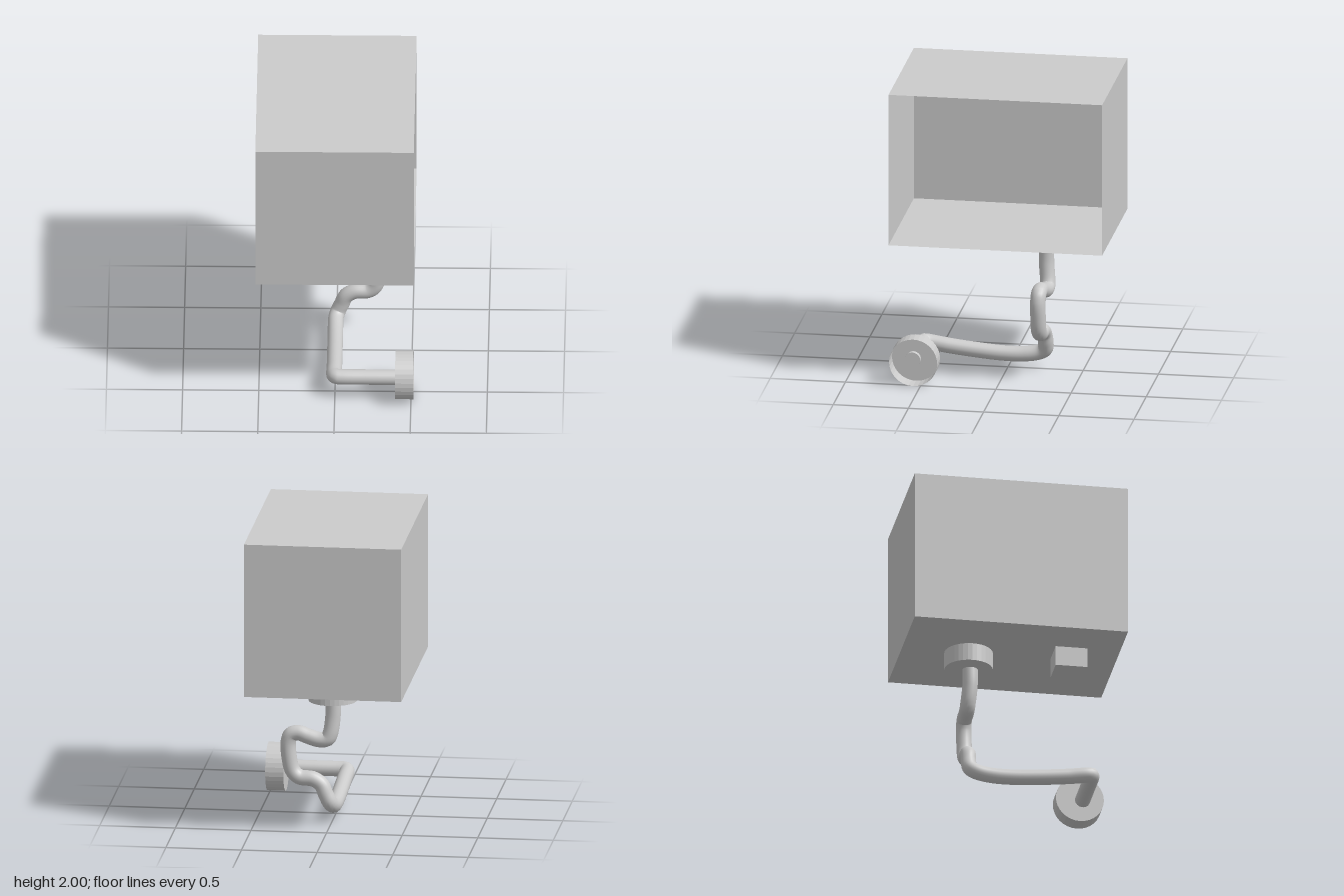
import * as THREE from 'three';

const smooth = new THREE.MeshStandardMaterial({ color: 0xcccccc, side: THREE.DoubleSide });
const flat = new THREE.MeshStandardMaterial({ color: 0xcccccc, side: THREE.DoubleSide, flatShading: true });

function addMesh(parent, name, geometry, material, x = 0, y = 0, z = 0) {
  const mesh = new THREE.Mesh(geometry, material);
  mesh.name = name;
  mesh.position.set(x, y, z);
  parent.add(mesh);
  return mesh;
}

// Shallow round cup: thin wall, closed at its lower end, open at the top
function makeCup(name, radius, height) {
  const cup = new THREE.Group();
  cup.name = name;
  addMesh(cup, 'cupWall', new THREE.CylinderGeometry(radius, radius, height, 32, 1, true), flat);
  const base = addMesh(cup, 'cupBase', new THREE.CircleGeometry(radius, 32), flat, 0, -height / 2, 0);
  base.rotation.x = Math.PI / 2;
  return cup;
}

export function createModel() {
  const model = new THREE.Group();
  model.name = 'boxWithBentPipe';

  // Thin-walled box, open on its +x side (the first face of the geometry is dropped)
  const shell = new THREE.BoxGeometry(1.04, 1.035, 1.42);
  shell.setIndex(Array.from(shell.index.array).slice(6));
  shell.clearGroups();
  addMesh(model, 'openBox', shell, flat, 0, 1.4825, 0);

  // Small block under the box
  addMesh(model, 'underBlock', new THREE.BoxGeometry(0.21, 0.135, 0.21), flat, -0.115, 0.8975, 0.385);

  // Cup joining the pipe to the box
  const upperCup = makeCup('upperCup', 0.16, 0.12);
  upperCup.position.set(-0.012, 0.905, -0.265);
  model.add(upperCup);

  // Cup at the free end, opening towards +x
  const lowerCup = makeCup('lowerCup', 0.16, 0.12);
  lowerCup.rotation.z = -Math.PI / 2;
  lowerCup.position.set(0.457, 0.163, 0.547);
  model.add(lowerCup);

  // Bent pipe: down in an S, forward along z, then sharply out to +x
  const path = [
    [-0.012, 0.89, -0.255], [-0.012, 0.73, -0.255], [0.005, 0.615, -0.265],
    [0.025, 0.58, -0.267], [0.075, 0.572, -0.265], [0.15, 0.59, -0.257],
    [0.215, 0.61, -0.25], [0.265, 0.598, -0.247], [0.284, 0.55, -0.245],
    [0.28, 0.45, -0.245], [0.255, 0.35, -0.245], [0.21, 0.31, -0.247],
    [0.12, 0.3, -0.25], [0.065, 0.265, -0.253], [0.035, 0.2, -0.257],
    [0.01, 0.145, -0.25], [-0.003, 0.118, -0.215], [-0.005, 0.098, -0.12],
    [-0.005, 0.095, 0.02], [-0.005, 0.108, 0.2], [-0.005, 0.13, 0.4],
    [-0.005, 0.15, 0.535], [0.008, 0.155, 0.558], [0.04, 0.155, 0.563],
    [0.2, 0.155, 0.564], [0.43, 0.155, 0.565],
  ].map((p) => new THREE.Vector3(...p));
  const curve = new THREE.CatmullRomCurve3(path);
  addMesh(model, 'bentPipe', new THREE.TubeGeometry(curve, 160, 0.051, 20, false), smooth);

  // Discs closing both pipe ends
  const capGeometry = new THREE.CircleGeometry(0.051, 20);
  const outerCap = addMesh(model, 'pipeEndCap', capGeometry, flat, 0.43, 0.155, 0.565);
  outerCap.rotation.y = Math.PI / 2;
  const innerCap = addMesh(model, 'pipeTopCap', capGeometry, flat, -0.012, 0.89, -0.255);
  innerCap.rotation.x = -Math.PI / 2;

  return model;
}
